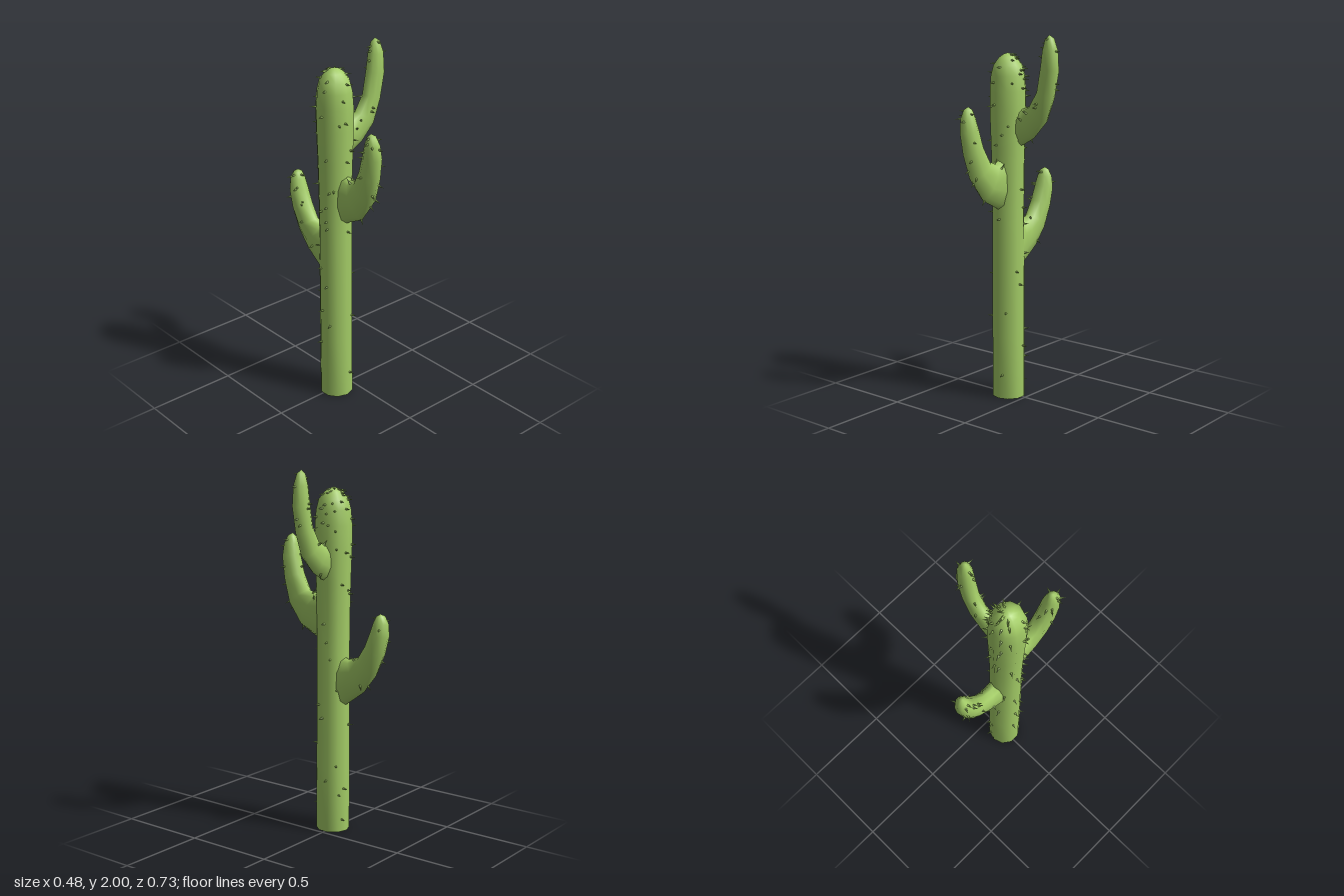
import * as THREE from 'three';
import { mergeGeometries } from 'three/addons/utils/BufferGeometryUtils.js';

const SIDES = 10;
const green = new THREE.MeshStandardMaterial({ color: 0xa3cc66 });

// Small seeded generator for the spine positions
let seed = 11;
const rand = () => (seed = (seed * 16807) % 2147483647) / 2147483647;

// Each ring is { c: centre, n: in-plane axis, s: side axis, a, b: half widths along n and s }
function makeRings(points, side) {
  const at = i => points[Math.max(0, Math.min(points.length - 1, i))].p;
  return points.map(({ p, a, b }, i) => {
    const tangent = at(i + 1).clone().sub(at(i - 1)).normalize();
    const n = new THREE.Vector3().crossVectors(side, tangent).normalize();
    const s = new THREE.Vector3().crossVectors(tangent, n);
    return { c: p, n, s, a, b };
  });
}

function ringPoint(r, angle) {
  return r.c.clone()
    .addScaledVector(r.n, Math.cos(angle) * r.a)
    .addScaledVector(r.s, Math.sin(angle) * r.b);
}

// Skin the rings and close the far end with a tip vertex
function skin(rings, tip) {
  const pos = [], index = [];
  rings.forEach(r => {
    for (let j = 0; j < SIDES; j++) pos.push(...ringPoint(r, j / SIDES * Math.PI * 2).toArray());
  });
  pos.push(...tip.toArray());
  const last = (rings.length - 1) * SIDES, top = rings.length * SIDES;
  for (let j = 0; j < SIDES; j++) {
    const k = (j + 1) % SIDES;
    for (let i = 0; i < last; i += SIDES) {
      index.push(i + j, i + k, i + SIDES + j, i + k, i + SIDES + k, i + SIDES + j);
    }
    index.push(last + j, last + k, top);
  }
  const g = new THREE.BufferGeometry();
  g.setAttribute('position', new THREE.Float32BufferAttribute(pos, 3));
  g.setIndex(index);
  g.computeVertexNormals();
  return g;
}

// Little cones standing out from the skin, between ring number `from` and the tip
function spines(rings, count, from) {
  const up = new THREE.Vector3(0, 1, 0), list = [];
  for (let k = 0; k < count; k++) {
    const t = from + (k + rand()) / count * (rings.length - 1 - from);
    const i = Math.min(Math.floor(t), rings.length - 2), angle = rand() * Math.PI * 2;
    const base = ringPoint(rings[i], angle).lerp(ringPoint(rings[i + 1], angle), t - i);
    const axis = rings[i].c.clone().lerp(rings[i + 1].c, t - i);
    const out = base.clone().sub(axis).normalize();
    const cone = new THREE.ConeGeometry(0.007, 0.034, 5);
    cone.translate(0, 0.011, 0);
    cone.applyQuaternion(new THREE.Quaternion().setFromUnitVectors(up, out));
    cone.translate(base.x, base.y, base.z);
    list.push(cone);
  }
  return mergeGeometries(list);
}

function limb(name, points, side, tip, count, from) {
  const g = new THREE.Group();
  g.name = name;
  const rings = makeRings(points, side);
  const body = new THREE.Mesh(skin(rings, tip), green);
  body.name = name + 'Body';
  const prickles = new THREE.Mesh(spines(rings, count, from), green);
  prickles.name = name + 'Spines';
  g.add(body, prickles);
  return g;
}

export function createModel() {
  const model = new THREE.Group();
  model.name = 'cactus';
  const V = (x, y, z) => new THREE.Vector3(x, y, z);
  const X = V(1, 0, 0), Z = V(0, 0, 1);

  // Trunk: [height, radius]
  const trunk = [[0, 0.092], [0.35, 0.091], [0.7, 0.09], [1.0, 0.089], [1.2, 0.09], [1.4, 0.094], [1.58, 0.1],
    [1.7, 0.1], [1.78, 0.094], [1.835, 0.08], [1.875, 0.05], [1.892, 0.025]]
    .map(([y, r]) => ({ p: V(-0.108, y, 0.01), a: r, b: r }));
  model.add(limb('trunk', trunk, X, V(-0.108, 1.9, 0.01), 75, 0.2));

  // Flat base under the trunk
  const base = new THREE.Mesh(new THREE.CircleGeometry(0.092, SIDES), green);
  base.name = 'base';
  base.rotation.x = Math.PI / 2;
  base.position.set(-0.108, 0, 0.01);
  model.add(base);

  // Left arm, in the xy plane: [x, y, half depth in the bend, half width]
  const left = [[-0.09, 1.5, 0.11, 0.046], [-0.025, 1.515, 0.1, 0.045], [0.025, 1.53, 0.085, 0.043],
    [0.095, 1.585, 0.068, 0.043], [0.145, 1.69, 0.053, 0.043], [0.17, 1.82, 0.053, 0.043],
    [0.173, 1.92, 0.043, 0.037], [0.17, 1.98, 0.025, 0.022]]
    .map(([x, y, a, b]) => ({ p: V(x, y, 0.008), a, b }));
  model.add(limb('leftArm', left, Z, V(0.168, 2, 0.008), 17, 1.5));

  // Front arm, in the yz plane: [z, y, half depth, half width, x]
  const front = [[0.04, 1.2, 0.15, 0.055, -0.105], [0.1, 1.215, 0.135, 0.052, -0.105],
    [0.17, 1.225, 0.108, 0.05, -0.105], [0.24, 1.29, 0.078, 0.05, -0.108], [0.285, 1.4, 0.062, 0.05, -0.115],
    [0.31, 1.51, 0.054, 0.047, -0.12], [0.314, 1.575, 0.042, 0.038, -0.124], [0.311, 1.618, 0.025, 0.024, -0.127]]
    .map(([z, y, a, b, x]) => ({ p: V(x, y, z), a, b }));
  model.add(limb('frontArm', front, X, V(-0.128, 1.635, 0.308), 19, 1.5));

  // Back arm, same layout
  const back = [[-0.03, 0.86, 0.15, 0.06], [-0.09, 0.875, 0.125, 0.055], [-0.15, 0.895, 0.098, 0.05],
    [-0.22, 0.955, 0.073, 0.052], [-0.27, 1.05, 0.06, 0.057], [-0.299, 1.14, 0.052, 0.054],
    [-0.306, 1.2, 0.04, 0.043], [-0.305, 1.237, 0.023, 0.025]]
    .map(([z, y, a, b]) => ({ p: V(-0.105, y, z), a, b }));
  model.add(limb('backArm', back, X, V(-0.103, 1.25, -0.305), 15, 1.5));

  return model;
}
